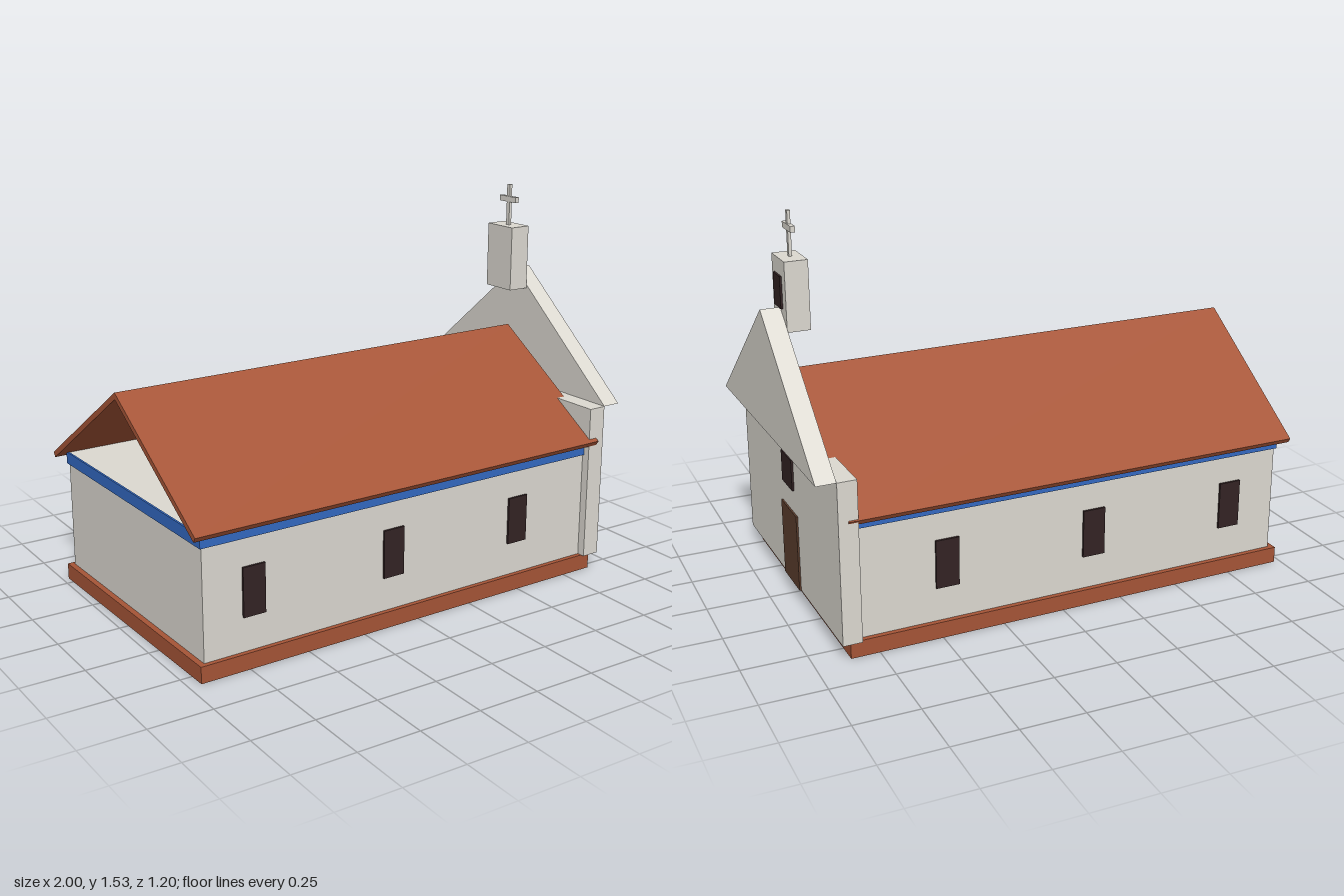
import * as THREE from 'three';

const mat = (name, color) => {
  const m = new THREE.MeshStandardMaterial({ color });
  m.name = name;
  return m;
};

export function createModel() {
  const plaster = mat('plaster', 0xdcd9d1);
  const terracotta = mat('terracotta', 0xa65537);
  const blue = mat('blue trim', 0x3369c2);
  const glass = mat('dark window', 0x332324);
  const wood = mat('door wood', 0x5c3e2e);

  const chapel = new THREE.Group();
  chapel.name = 'chapel';

  const add = (name, geometry, material) => {
    const mesh = new THREE.Mesh(geometry, material);
    mesh.name = name;
    chapel.add(mesh);
    return mesh;
  };
  // Box given by its extents along each axis
  const box = (name, material, [x0, x1], [y0, y1], [z0, z1]) =>
    add(name, new THREE.BoxGeometry(x1 - x0, y1 - y0, z1 - z0), material)
      .position.set((x0 + x1) / 2, (y0 + y1) / 2, (z0 + z1) / 2);
  // Prism along x from a [z, y] profile
  const prism = (name, material, profile, x0, x1) => {
    const shape = new THREE.Shape(profile.map(([z, y]) => new THREE.Vector2(-z, y)));
    const g = new THREE.ExtrudeGeometry(shape, { depth: x1 - x0, bevelEnabled: false });
    g.rotateY(Math.PI / 2); // shape x becomes -z, depth becomes +x
    g.translate(x0, 0, 0);
    add(name, g, material);
  };

  // Plinth and nave
  box('plinth', terracotta, [-0.963, 0.874], [0, 0.065], [-0.566, 0.549]);
  box('naveWalls', plaster, [-0.94, 0.84], [0.065, 0.546], [-0.546, 0.53]);

  // Blue band under the eaves on three sides
  box('frontTrim', blue, [-0.948, 0.835], [0.5, 0.548], [0.53, 0.537]);
  box('backTrim', blue, [-0.948, 0.835], [0.5, 0.548], [-0.553, -0.546]);
  box('endTrim', blue, [-0.948, -0.94], [0.5, 0.548], [-0.546, 0.53]);

  // Side windows, three on each long wall
  for (const x of [-0.734, -0.122, 0.486]) {
    const span = [x - 0.046, x + 0.046];
    box('frontWindow', glass, span, [0.2, 0.392], [0.53, 0.539]);
    box('backWindow', glass, span, [0.2, 0.392], [-0.555, -0.546]);
  }

  // Two roof slabs with an open gable beneath
  prism('frontRoof', terracotta,
    [[0, 0.935], [0, 0.909], [0.567, 0.544], [0.579, 0.563]], -0.988, 0.87);
  prism('backRoof', terracotta,
    [[0, 0.935], [0, 0.909], [-0.574, 0.527], [-0.586, 0.546]], -0.988, 0.87);

  // Entrance facade with its projecting gable
  box('facade', plaster, [0.833, 0.908], [0.065, 0.7], [-0.581, 0.564]);
  prism('facadeGable', plaster,
    [[0.564, 0.7], [-0.581, 0.7], [-0.01, 1.178]], 0.908, 0.985);
  box('door', wood, [0.908, 0.915], [0.065, 0.375], [-0.1, 0.085]);
  box('facadeWindow', glass, [0.908, 0.916], [0.47, 0.595], [-0.071, 0.055]);

  // Bell tower and cross
  box('bellTower', plaster, [0.818, 0.908], [1.1, 1.365], [-0.086, 0.066]);
  box('bellOpening', glass, [0.908, 0.916], [1.18, 1.303], [-0.047, 0.033]);
  box('crossUpright', plaster, [0.855, 0.867], [1.365, 1.535], [-0.016, 0.002]);
  box('crossBar', plaster, [0.852, 0.87], [1.462, 1.485], [-0.056, 0.042]);

  // The building stands at a slight angle
  chapel.rotation.y = 0.0213;
  const model = new THREE.Group();
  model.name = 'chapelModel';
  model.add(chapel);
  return model;
}
